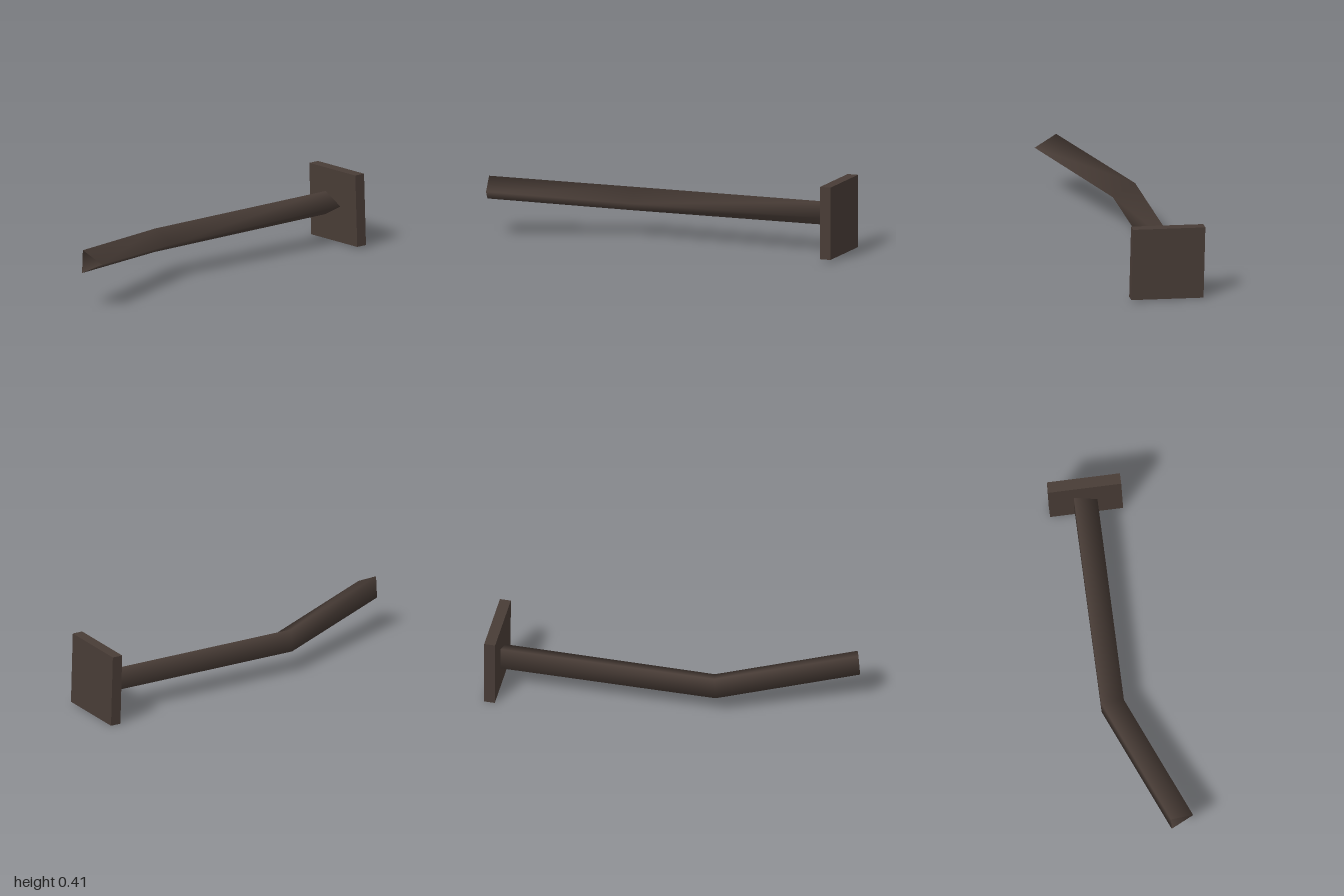
import * as THREE from 'three';

const V = (x, y, z) => new THREE.Vector3(x, y, z);

// Open three-sided tube through rings of [upper, lower, outer] corners, smooth normals
function loftTube(rings) {
  const sides = 3;
  const index = [];
  for (let k = 0; k < rings.length - 1; k++) {
    for (let i = 0; i < sides; i++) {
      const j = (i + 1) % sides;
      const a = k * sides + i, b = k * sides + j;
      const c = b + sides, d = a + sides;
      index.push(a, c, b, a, d, c);
    }
  }
  const geometry = new THREE.BufferGeometry();
  geometry.setFromPoints(rings.flat());
  geometry.setIndex(index);
  geometry.computeVertexNormals();
  return geometry;
}

export function createModel() {
  const model = new THREE.Group();
  model.name = 'bentBracket';
  const darkBrown = new THREE.MeshStandardMaterial({ color: 0x483c36, side: THREE.DoubleSide });
  darkBrown.name = 'darkBrown';

  // Bent arm: free end, elbow, end on the plate
  const arm = new THREE.Mesh(loftTube([
    [V(-0.35, 0.315, 0.982), V(-0.35, 0.19, 0.991), V(-0.223, 0.255, 0.998)],
    [V(-0.35, 0.255, 0.198), V(-0.35, 0.126, 0.205), V(-0.223, 0.191, 0.222)],
    [V(0.08, 0.268, -0.894), V(0.08, 0.14, -0.894), V(0.198, 0.208, -0.847)],
  ]), darkBrown);
  arm.name = 'arm';
  model.add(arm);

  // Square mounting plate, square to the rear length of the arm
  const plate = new THREE.Mesh(new THREE.BoxGeometry(0.395, 0.395, 0.06), darkBrown);
  plate.name = 'mountingPlate';
  const across = V(0.367, 0.011, 0.145).normalize();
  const facing = across.clone().cross(V(-0.012, 0.395, 0)).normalize();
  const up = facing.clone().cross(across);
  plate.quaternion.setFromRotationMatrix(new THREE.Matrix4().makeBasis(across, up, facing));
  plate.position.set(0.151, 0.204, -0.9);
  model.add(plate);

  return model;
}
